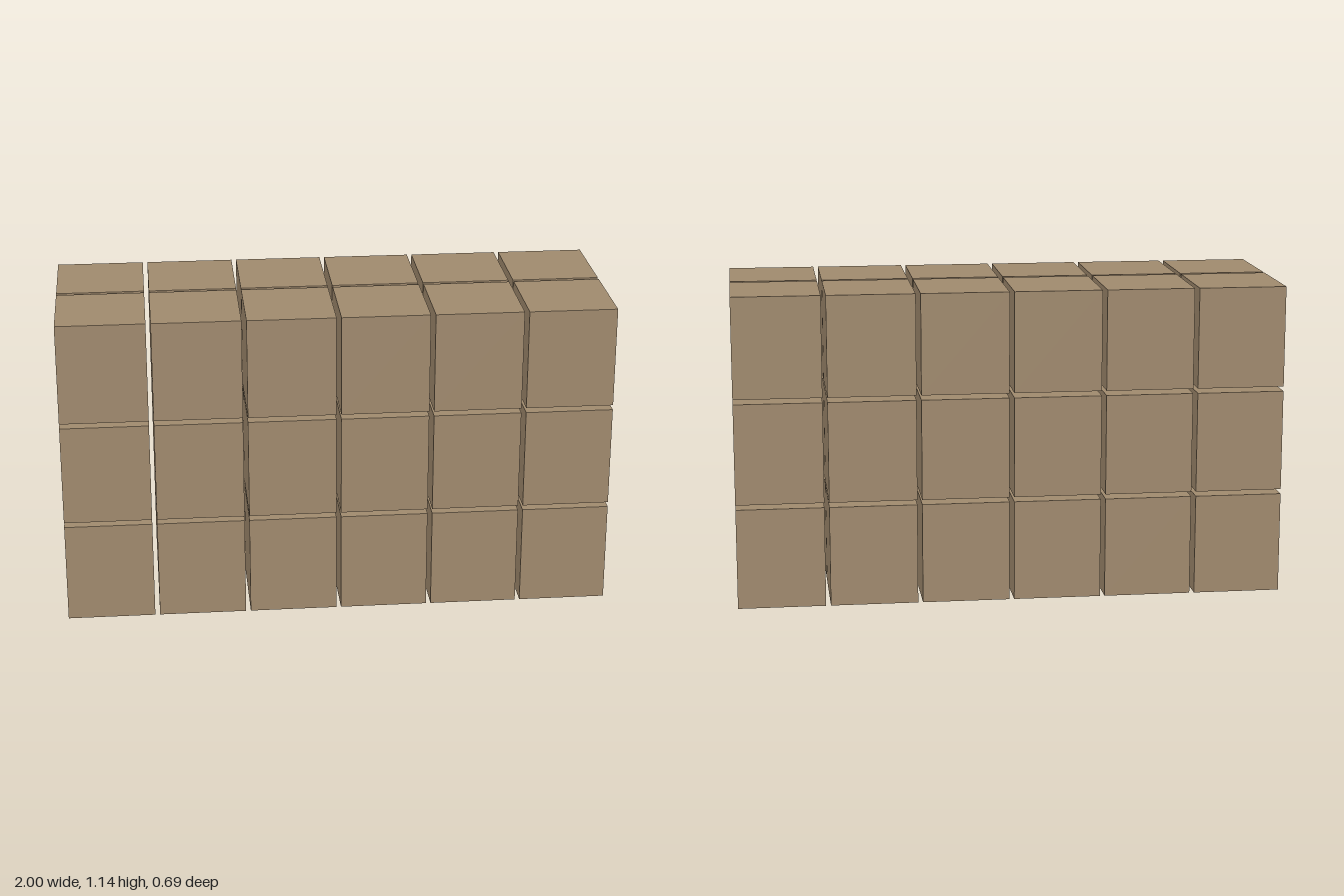
import * as THREE from 'three';

export function createModel() {
  const model = new THREE.Group();
  model.name = 'stackedBoxes';

  const count = { x: 6, y: 3, z: 2 };
  const gap = 0.0175;
  const size = { x: (2 - 5 * gap) / 6, y: 0.369, z: 0.338 };

  const geometry = new THREE.BoxGeometry(size.x, size.y, size.z);
  const material = new THREE.MeshStandardMaterial({ color: 0xa08a6e });

  // Distance of box i from the middle of its row
  const offset = (axis, i) => (i - (count[axis] - 1) / 2) * (size[axis] + gap);

  // One group per layer, each a grid of separate boxes
  for (let j = 0; j < count.y; j++) {
    const layer = new THREE.Group();
    layer.name = `layer${j + 1}`;
    layer.position.y = size.y / 2 + j * (size.y + gap);
    for (let k = 0; k < count.z; k++) {
      for (let i = 0; i < count.x; i++) {
        const box = new THREE.Mesh(geometry, material);
        box.name = `box${k * count.x + i + 1}`;
        box.position.set(offset('x', i), 0, offset('z', k));
        layer.add(box);
      }
    }
    model.add(layer);
  }
  return model;
}
